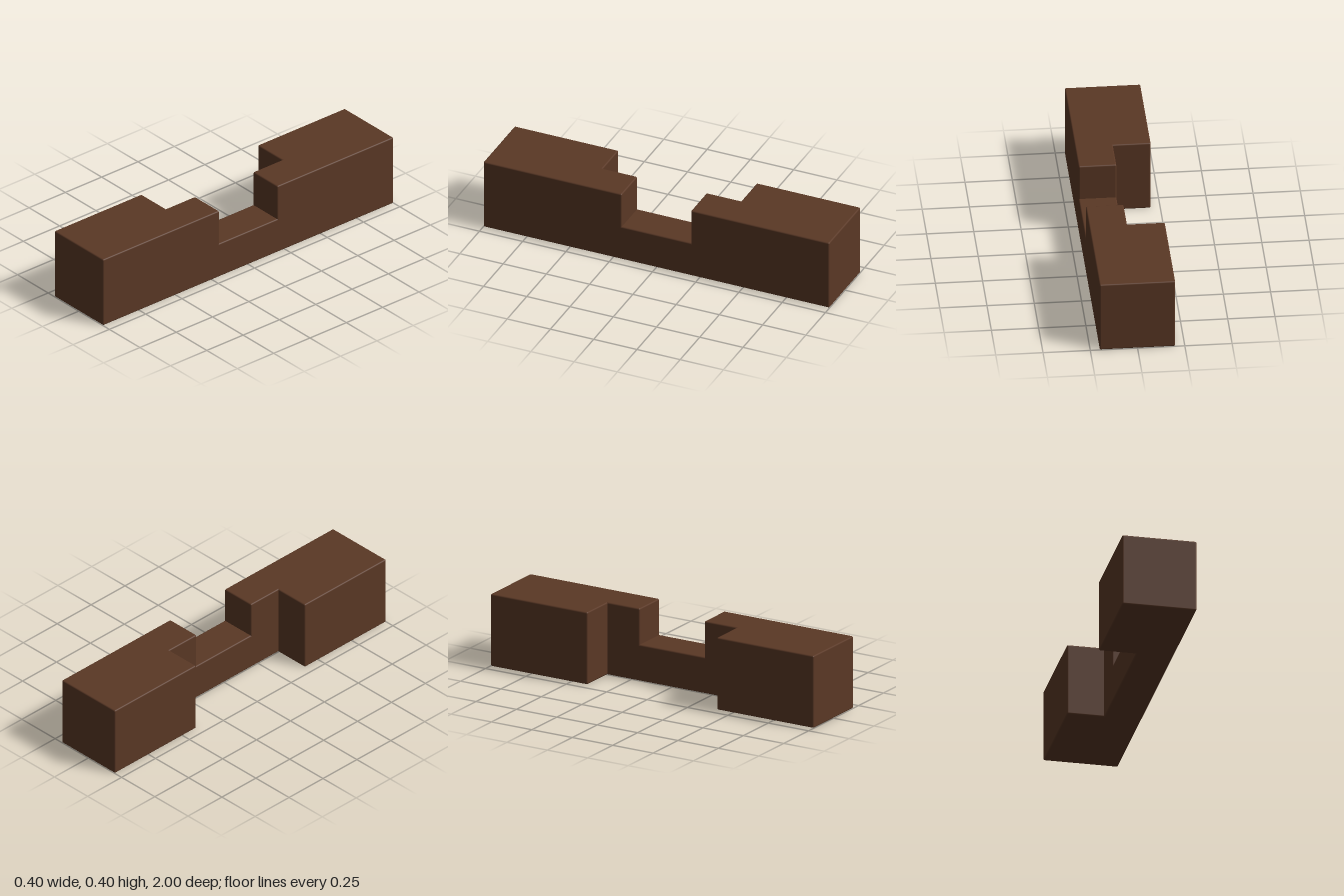
import * as THREE from 'three';
import { RoundedBoxGeometry } from 'three/addons/geometries/RoundedBoxGeometry.js';

const EDGE = 0.008;

export function createModel() {
  const model = new THREE.Group();
  model.name = 'burrPuzzlePiece';

  const walnut = new THREE.MeshStandardMaterial({ color: 0x5a3825 });
  walnut.name = 'walnut brown';

  // Softly rounded block given by its extents along each axis
  function addBlock(name, [x0, x1], [y0, y1], [z0, z1]) {
    const geometry = new RoundedBoxGeometry(x1 - x0, y1 - y0, z1 - z0, 3, EDGE);
    const mesh = new THREE.Mesh(geometry, walnut);
    mesh.name = name;
    mesh.position.set((x0 + x1) / 2, (y0 + y1) / 2, (z0 + z1) / 2);
    model.add(mesh);
  }

  // Low bar bridging the notch; its ends are buried in the shoulders
  addBlock('notchBar', [0, 0.2], [0, 0.2], [-0.3, 0.3]);

  for (const [label, side] of [['front', 1], ['back', -1]]) {
    const span = (a, b) => (side > 0 ? [a, b] : [-b, -a]);
    // Full-section end block
    addBlock(label + 'EndBlock', [-0.2, 0.2], [0, 0.4], span(0.4, 1));
    // Half-width shoulder, overlapping the end block to hide the seam
    addBlock(label + 'Shoulder', [0, 0.2], [0, 0.4], span(0.2, 0.44));
  }

  return model;
}
